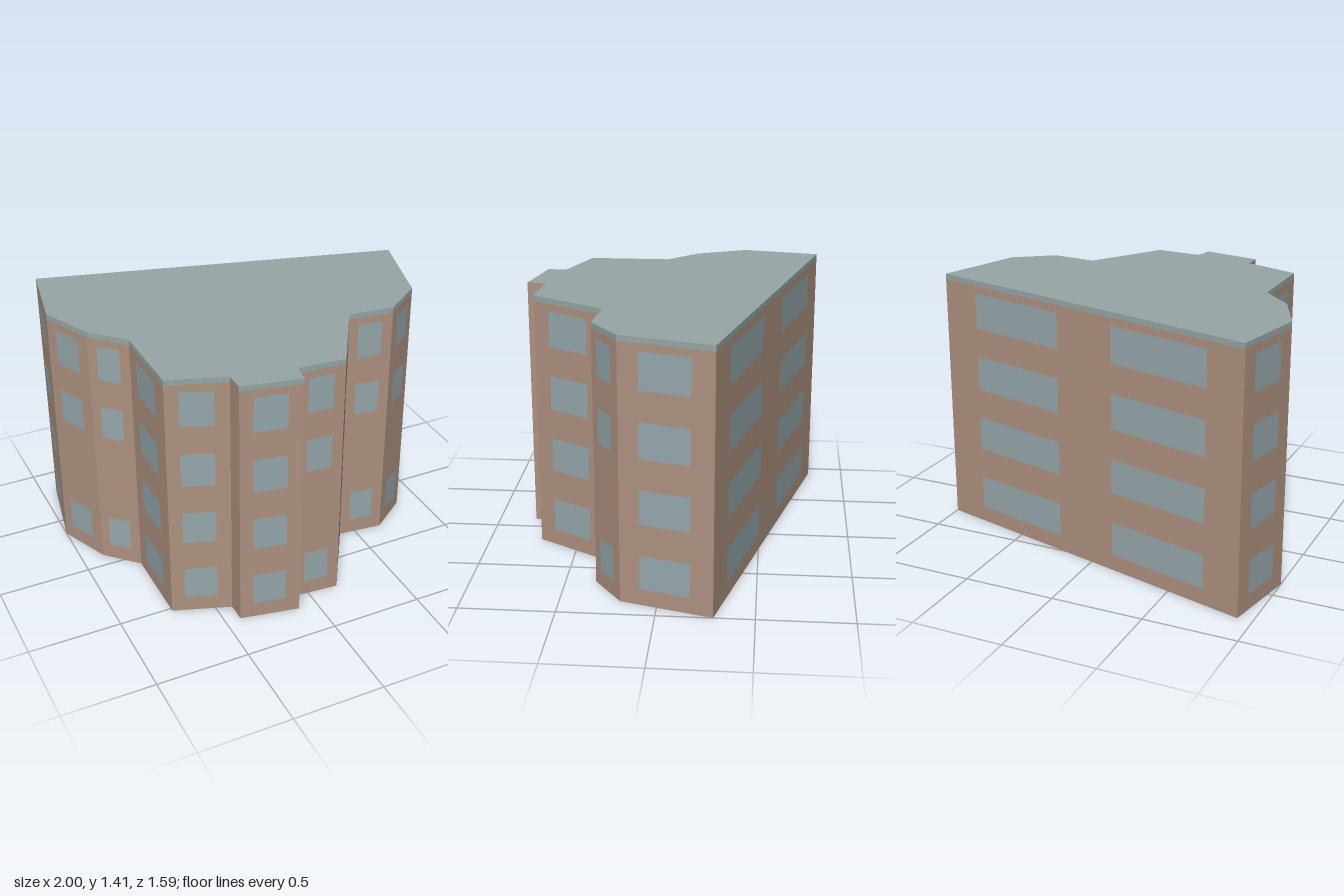
import * as THREE from 'three';

const HEIGHT = 1.41, BAND = 0.03;
const FLOORS = [[0.09, 0.275], [0.445, 0.63], [0.795, 0.985], [1.145, 1.34]];
const ALL = [0, 1, 2, 3], SKIP = [0, 2, 3];
const MID = [[0.24, 0.78]];

// Footprint corners [x, z]; each starts a wall with its window spans, floors and roof band
const WALLS = [
  { at: [-0.92, -0.795], spans: [[0.107, 0.405], [0.588, 0.885]], floors: ALL, band: true },
  { at: [1, -0.29], spans: MID, floors: ALL, band: true },
  { at: [0.862, 0.19], spans: MID, floors: SKIP, band: true },
  { at: [0.655, 0.34], spans: MID, floors: SKIP, band: true },
  { at: [0.408, 0.312], spans: MID, floors: ALL, band: true },
  { at: [0.168, 0.712], spans: MID, floors: SKIP, band: true },
  { at: [-0.085, 0.692], spans: [], floors: [], band: false },
  { at: [-0.103, 0.793], spans: MID, floors: ALL, band: true },
  { at: [-0.417, 0.73], spans: [], floors: [], band: false },
  { at: [-0.417, 0.627], spans: MID, floors: ALL, band: true },
  { at: [-0.716, 0.52], spans: MID, floors: ALL, band: true },
  { at: [-0.716, 0.075], spans: MID, floors: SKIP, band: true },
  { at: [-0.88, -0.09], spans: MID, floors: SKIP, band: true },
  { at: [-1, -0.37], spans: MID, floors: ALL, band: true },
];

export function createModel() {
  const building = new THREE.Group();
  building.name = 'building';

  const wallMat = new THREE.MeshStandardMaterial({ color: 0xae9280, side: THREE.DoubleSide });
  wallMat.name = 'brown wall';
  const roofMat = new THREE.MeshStandardMaterial({ color: 0x96a7a6, side: THREE.DoubleSide });
  roofMat.name = 'grey green roof';
  const glassMat = new THREE.MeshStandardMaterial({ color: 0x96a8ac });
  glassMat.name = 'grey blue glass';

  // Upright panel covering fractions t0..t1 of the edge a-b, facing outward
  function panel(name, mat, a, b, [t0, t1], [y0, y1], lift = 0) {
    const dx = b[0] - a[0], dz = b[1] - a[1], length = Math.hypot(dx, dz);
    const nx = dz / length, nz = -dx / length, t = (t0 + t1) / 2;
    const mesh = new THREE.Mesh(new THREE.PlaneGeometry(length * (t1 - t0), y1 - y0), mat);
    mesh.position.set(a[0] + dx * t + nx * lift, (y0 + y1) / 2, a[1] + dz * t + nz * lift);
    mesh.rotation.y = Math.atan2(nx, nz);
    mesh.name = name;
    return mesh;
  }

  // Walls with roof edge bands and windows
  WALLS.forEach((wall, i) => {
    const a = wall.at, b = WALLS[(i + 1) % WALLS.length].at;
    const side = new THREE.Group();
    side.name = `side${i + 1}`;
    const top = wall.band ? HEIGHT - BAND : HEIGHT;
    side.add(panel('wall', wallMat, a, b, [0, 1], [0, top]));
    if (wall.band) side.add(panel('roofEdge', roofMat, a, b, [0, 1], [top, HEIGHT]));
    for (const floor of wall.floors) {
      for (const span of wall.spans) {
        side.add(panel('window', glassMat, a, b, span, FLOORS[floor], 0.003));
      }
    }
    building.add(side);
  });

  // Flat roof
  const outline = new THREE.Shape(WALLS.map(({ at }) => new THREE.Vector2(at[0], -at[1])));
  const roof = new THREE.Mesh(new THREE.ShapeGeometry(outline).rotateX(-Math.PI / 2), roofMat);
  roof.position.y = HEIGHT;
  roof.name = 'roof';
  building.add(roof);

  return building;
}
